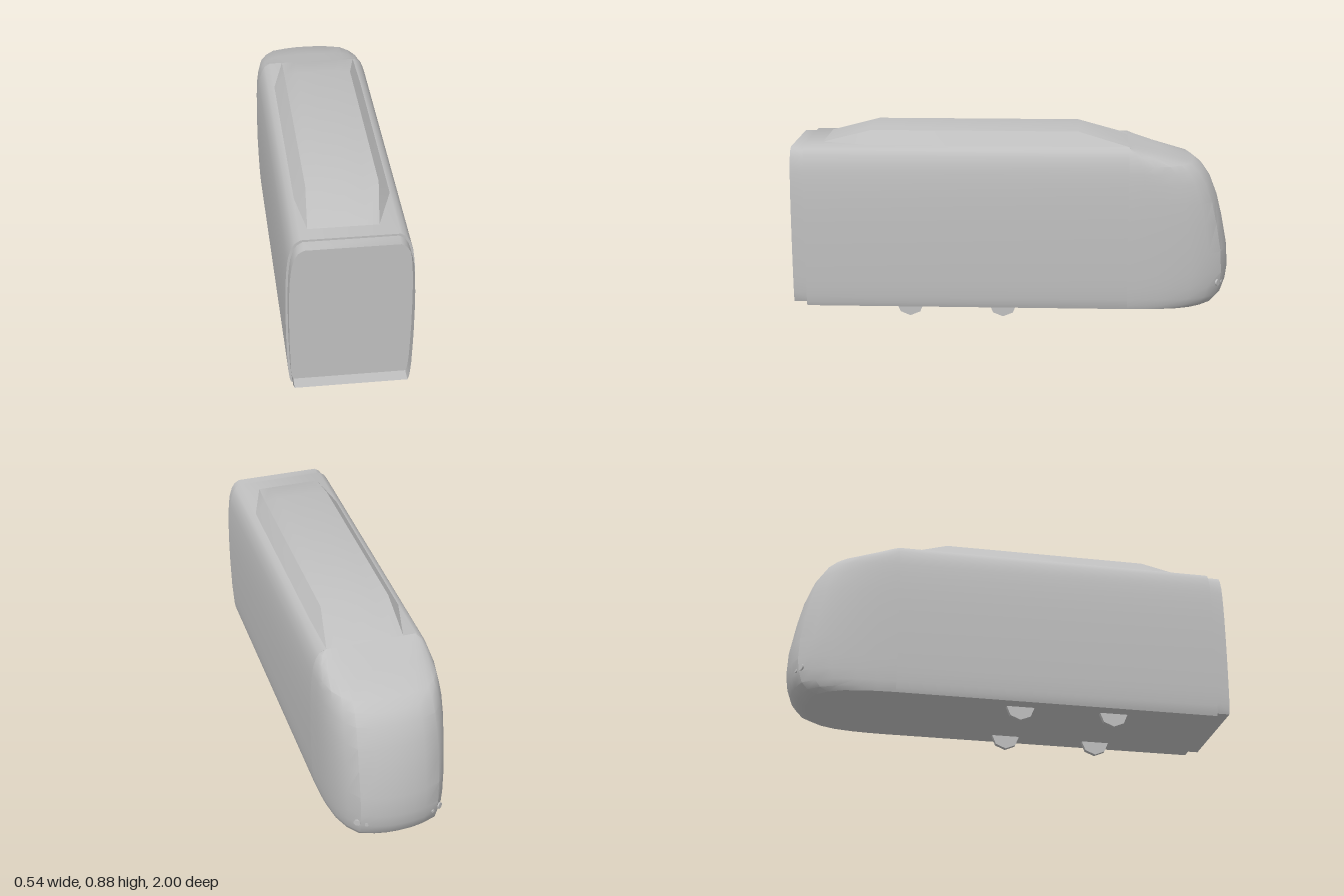
import * as THREE from 'three';
import { toCreasedNormals } from 'three/addons/utils/BufferGeometryUtils.js';

const paint = new THREE.MeshStandardMaterial({ color: 0xc0c0c0, side: THREE.DoubleSide });
paint.name = 'body grey';

// Levels of the shell: height, half width, how far the nose reaches
const LEVELS = [
  [0.062, 0.252, -0.9], [0.08, 0.258, -0.945], [0.11, 0.262, -0.975], [0.16, 0.266, -0.992],
  [0.22, 0.268, -1], [0.32, 0.271, -0.995], [0.45, 0.272, -0.97], [0.55, 0.271, -0.945],
  [0.64, 0.267, -0.91], [0.69, 0.262, -0.875], [0.725, 0.257, -0.83], [0.765, 0.245, -0.68],
  [0.79, 0.23, -0.59], [0.806, 0.205, -0.53],
];
const JOIN = -0.53; // where the straight body meets the nose
const END = 0.94; // flat coupling end

// Surface through rings of points
function loft(rings, crease) {
  const n = rings[0].length;
  const index = [];
  for (let i = 0; i < rings.length - 1; i++) {
    for (let j = 0; j < n - 1; j++) {
      const a = i * n + j, b = a + 1, d = a + n, c = d + 1;
      index.push(a, b, c, a, c, d);
    }
  }
  const geo = new THREE.BufferGeometry();
  geo.setAttribute('position', new THREE.Float32BufferAttribute(rings.flat(2), 3));
  geo.setIndex(index);
  return toCreasedNormals(geo, crease);
}

// Full outline of the body section, counter-clockwise from the lower left side
function section() {
  const half = LEVELS.map(([y, w]) => [w, y]);
  return [...half, ...half.map(([x, y]) => [-x, y]).reverse()];
}

function bodyGeometry() {
  const shape = new THREE.Shape(section().map(([x, y]) => new THREE.Vector2(x, y)));
  const geo = new THREE.ExtrudeGeometry(shape, { depth: END - JOIN, bevelEnabled: false });
  geo.translate(0, 0, JOIN);
  return toCreasedNormals(geo, 0.6);
}

// Rounded nose: one plan curve, scaled at every level
function noseGeometry() {
  const side = [[1, 0], [0.99, 0.2], [0.97, 0.38], [0.907, 0.617], [0.8, 0.79],
    [0.65, 0.915], [0.4, 0.97], [0.2, 0.993]];
  const plan = [...side, [0, 1], ...side.map(([x, z]) => [-x, z]).reverse()];
  const rings = LEVELS.map(([y, w, f]) => plan.map(([px, pz]) => [px * w, y, JOIN + pz * (f - JOIN)]));
  const floor = rings[0].map(([, y, z]) => [0, y, z]);
  return loft([floor, ...rings], 0.6);
}

// Raised roof housing with sloping ends
function roofGeometry() {
  const half = [[0.208, 0.8], [0.155, 0.867], [0.09, 0.875]];
  const full = [...half, [0, 0.876], ...half.map(([x, y]) => [-x, y]).reverse()];
  const raised = (z) => full.map(([x, y]) => [x, y, z]);
  const flat = (z, s) => full.map(([x]) => [x * s, 0.806, z]);
  return loft([flat(JOIN, 0.95), raised(-0.3), raised(0.64), flat(0.865, 0.82)], 0.35);
}

// Open collar around the coupling end
function collarGeometry() {
  const ring = section().map(([x, y]) => [x * 0.965, 0.078 + (y - 0.062) * 0.966]);
  ring.push(ring[0]);
  return loft([END - 0.01, 1].map((z) => ring.map(([x, y]) => [x, y, z])), 0.6);
}

export function createModel() {
  const model = new THREE.Group();
  model.name = 'railCar';
  const add = (name, geo) => {
    const mesh = new THREE.Mesh(geo, paint);
    mesh.name = name;
    model.add(mesh);
    return mesh;
  };

  add('body', bodyGeometry());
  add('nose', noseGeometry());
  add('roofHousing', roofGeometry());
  add('endCollar', collarGeometry());

  // Slim eight-sided wheels, half sunk into the floor
  const wheel = toCreasedNormals(new THREE.CylinderGeometry(0.065, 0.065, 0.022, 8).rotateZ(Math.PI / 2), 0.5);
  for (const s of [1, -1]) {
    for (const z of [0.47, 0.04]) add('wheel', wheel).position.set(s * 0.179, 0.065, z);
  }

  // Pairs of round lamps at the nose corners
  const lamps = [[0.187, 0.175, -0.944, 0.015, 0.62], [0.15, 0.17, -0.963, 0.008, 0.37]];
  for (const s of [1, -1]) {
    for (const [x, y, z, r, tilt] of lamps) {
      const lamp = add('lamp', new THREE.CylinderGeometry(r, r, 0.008, 12).rotateX(Math.PI / 2));
      lamp.position.set(s * x, y, z);
      lamp.rotation.y = -s * tilt;
    }
  }
  return model;
}
